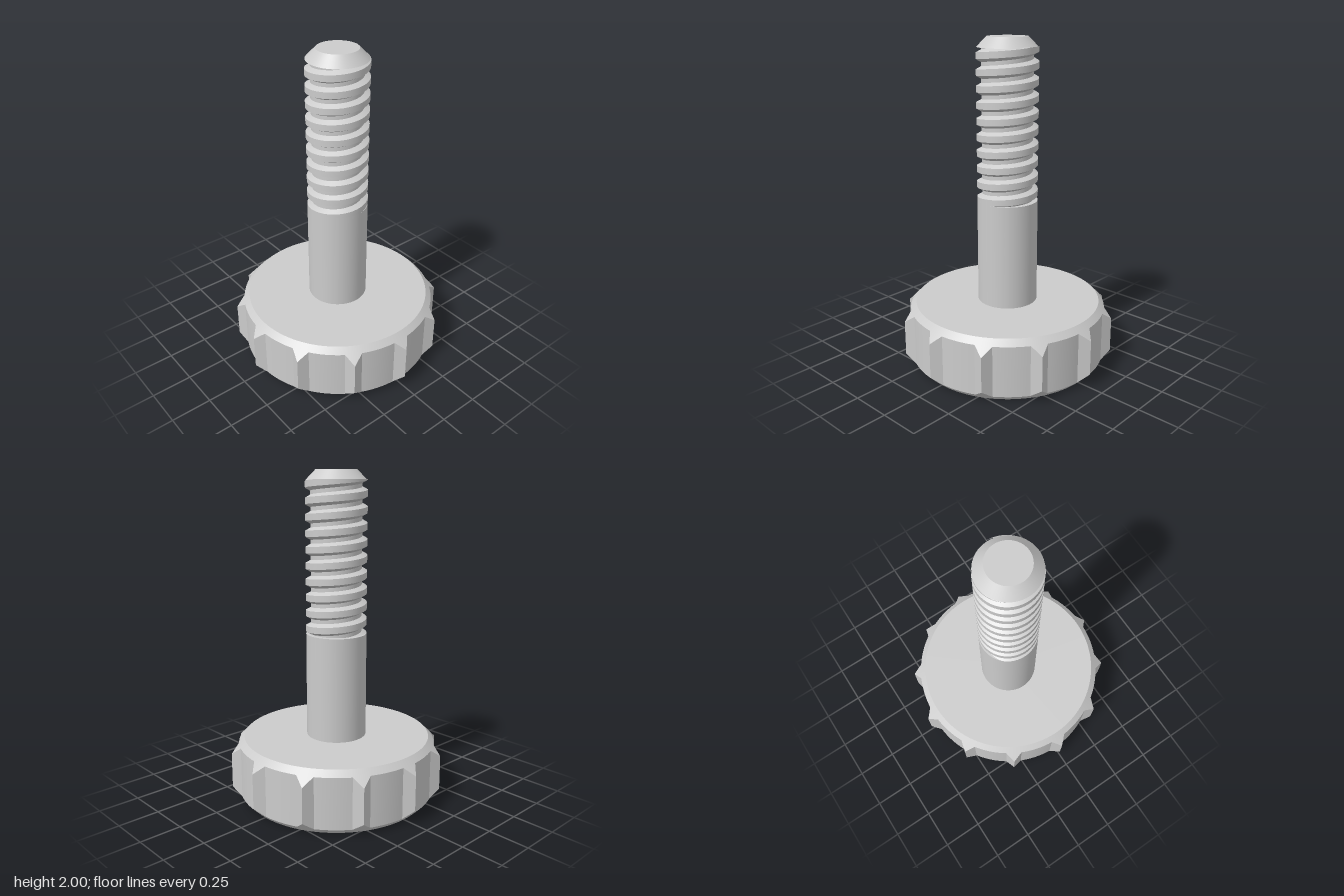
import * as THREE from 'three';
import { toCreasedNormals } from 'three/addons/utils/BufferGeometryUtils.js';

const material = new THREE.MeshStandardMaterial({ color: 0xcccccc });

// Skin between columns of points; columns run counter-clockwise seen from above, points run upwards.
function skin(columns) {
  const rows = columns[0].length, index = [];
  for (let i = 0; i < columns.length - 1; i++) {
    for (let k = 0; k < rows - 1; k++) {
      const a = i * rows + k, b = a + rows;
      index.push(a, b, b + 1, a, b + 1, a + 1);
    }
  }
  const geometry = new THREE.BufferGeometry();
  geometry.setAttribute('position', new THREE.Float32BufferAttribute(columns.flat(2), 3));
  geometry.setIndex(index);
  return toCreasedNormals(geometry, 0.45);
}

const polar = (angle, r, y) => [r * Math.sin(angle), y, r * Math.cos(angle)];

function part(name, geometry) {
  const mesh = new THREE.Mesh(geometry, material);
  mesh.name = name;
  return mesh;
}

// Round knob with 12 pointed grips, all trimmed by 45 degree chamfers.
function knobGeometry() {
  const H = 0.385, face = 0.575, body = 0.61, tip = 0.66, half = 0.084, teeth = 12;
  const outline = [];
  const bx = body * Math.sin(half), bz = body * Math.cos(half);
  for (let t = 0; t < teeth; t++) {
    const centre = t * Math.PI * 2 / teeth;
    // straight flanks up to the point and down again
    for (let s = -3; s <= 3; s++) {
      const x = bx * s / 3, z = tip + (bz - tip) * Math.abs(s) / 3;
      outline.push([centre + Math.atan2(x, z), Math.hypot(x, z)]);
    }
    // arc to the next grip
    const span = Math.PI * 2 / teeth - 2 * half;
    for (let s = 1; s < 8; s++) outline.push([centre + half + span * s / 8, body]);
  }
  outline.push(outline[0]);
  return skin(outline.map(([a, r]) => [
    polar(a, 0, 0), polar(a, face, 0), polar(a, r, r - face),
    polar(a, r, H - r + face), polar(a, face, H), polar(a, 0, H),
  ]));
}

// Right-hand helical thread with flat crests and roots.
function threadGeometry() {
  const pitch = 0.095, start = 1.094, low = 1.03, high = 1.945;
  const crest = 0.184, root = 0.153, steps = 64;
  const breaks = [-0.3, -0.12, 0.12, 0.3];
  const columns = [];
  for (let i = 0; i <= steps; i++) {
    const angle = i / steps * Math.PI * 2;
    const column = [];
    for (let turn = -3; turn < 12; turn++) {
      for (const b of breaks) {
        const raw = start + pitch * (turn + b + i / steps);
        const y = THREE.MathUtils.clamp(raw, low, high);
        const u = (y - start) / pitch - i / steps;
        const d = Math.abs(u - Math.round(u));
        const f = THREE.MathUtils.clamp((d - 0.12) / 0.18, 0, 1);
        column.push(polar(angle, root + (crest - root) * f, y));
      }
    }
    columns.push(column);
  }
  return skin(columns);
}

export function createModel() {
  const group = new THREE.Group();
  group.name = 'thumbScrew';

  group.add(part('knob', knobGeometry()));

  // Plain shank below the thread
  const shank = part('shank', new THREE.CylinderGeometry(0.184, 0.184, 0.645, 64));
  shank.position.y = 0.385 + 0.645 / 2;
  group.add(shank);

  group.add(part('thread', threadGeometry()));

  // Chamfered end of the screw
  const end = part('chamferedTip', new THREE.CylinderGeometry(0.122, 0.18, 0.06, 64));
  end.position.y = 1.97;
  group.add(end);

  return group;
}
